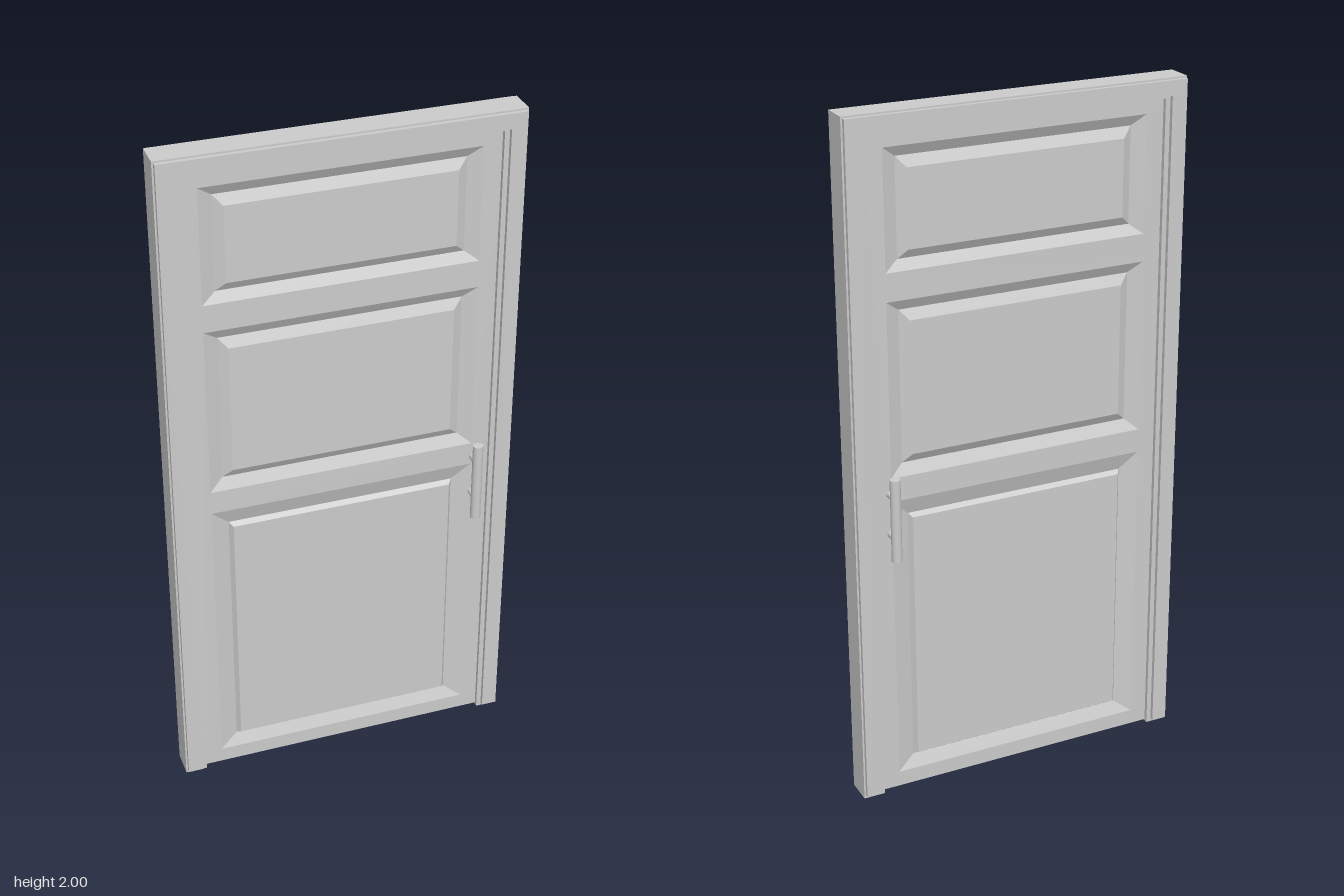
import * as THREE from 'three';

const material = new THREE.MeshStandardMaterial({ color: 0xcccccc });
const flat = new THREE.MeshStandardMaterial({ color: 0xcccccc, flatShading: true });

const LEAF_Z = 0.028;   // half thickness of the door leaf
const GROOVE_Z = 0.012; // height of the groove bottom around each panel

function addMesh(parent, name, geometry, mat = material) {
  const mesh = new THREE.Mesh(geometry, mat);
  mesh.name = name;
  parent.add(mesh);
  return mesh;
}

// Door surround: two jambs and a head in one U-shaped outline
function surround(outer, inner, bottom, top, innerTop, halfDepth) {
  const shape = new THREE.Shape([
    [-outer, bottom], [-inner, bottom], [-inner, innerTop], [inner, innerTop],
    [inner, bottom], [outer, bottom], [outer, top], [-outer, top],
  ].map(([x, y]) => new THREE.Vector2(x, y)));
  return new THREE.ExtrudeGeometry(shape, { depth: halfDepth * 2, bevelEnabled: false })
    .translate(0, 0, -halfDepth);
}

// Corners of a rectangle, counter-clockwise from the front
function corners(halfWidth, y0, y1, z) {
  return [[-halfWidth, y0, z], [halfWidth, y0, z], [halfWidth, y1, z], [-halfWidth, y1, z]];
}

// Raised panel: mitred slopes down to a groove, up again, and a flat field
function panelGeometry({ out, groove, field }) {
  const rings = [
    corners(...out, LEAF_Z), corners(...groove, GROOVE_Z), corners(...field, LEAF_Z - 0.002),
  ];
  const points = [];
  const quad = (a, b, c, d) => points.push(...a, ...b, ...c, ...a, ...c, ...d);
  for (let r = 0; r < 2; r++) {
    for (let i = 0; i < 4; i++) {
      const j = (i + 1) % 4;
      quad(rings[r][i], rings[r][j], rings[r + 1][j], rings[r + 1][i]);
    }
  }
  quad(...rings[2]);
  const geometry = new THREE.BufferGeometry();
  geometry.setAttribute('position', new THREE.Float32BufferAttribute(points, 3));
  geometry.computeVertexNormals();
  return geometry;
}

// Half width, bottom and top of each panel's opening, groove and field
const panels = [
  { name: 'topPanel', out: [0.385, 1.57, 1.905], groove: [0.345, 1.6, 1.875], field: [0.318, 1.625, 1.845] },
  { name: 'middlePanel', out: [0.385, 0.985, 1.49], groove: [0.345, 1.02, 1.46], field: [0.318, 1.045, 1.43] },
  { name: 'lowerPanel', out: [0.385, 0.05, 0.915], groove: [0.332, 0.09, 0.865], field: [0.322, 0.1, 0.855] },
];

function createLeaf() {
  const leaf = new THREE.Group();
  leaf.name = 'doorLeaf';
  const toShape = (w, y0, y1, Type) =>
    new Type(corners(w, y0, y1, 0).map(([x, y]) => new THREE.Vector2(x, y)));
  const board = toShape(0.44, 0.004, 1.95, THREE.Shape);
  for (const p of panels) board.holes.push(toShape(...p.out, THREE.Path));
  addMesh(leaf, 'stilesAndRails', new THREE.ExtrudeGeometry(board, {
    depth: LEAF_Z * 2, bevelEnabled: false,
  }).translate(0, 0, -LEAF_Z));
  // The same panels on both faces
  for (const p of panels) {
    const geometry = panelGeometry(p);
    addMesh(leaf, p.name + 'Front', geometry, flat);
    addMesh(leaf, p.name + 'Back', geometry, flat).rotation.y = Math.PI;
  }
  return leaf;
}

// Upright pull bar on two short posts
function createHandle(side) {
  const handle = new THREE.Group();
  handle.name = side > 0 ? 'frontHandle' : 'backHandle';
  const barZ = 0.067;
  addMesh(handle, 'bar', new THREE.CylinderGeometry(0.015, 0.015, 0.245, 24))
    .position.set(0.39, 0.8775, barZ * side);
  const length = barZ - LEAF_Z + 0.004;
  for (const y of [0.82, 0.94]) {
    const post = addMesh(handle, 'post', new THREE.CylinderGeometry(0.01, 0.01, length, 20));
    post.rotation.x = Math.PI / 2;
    post.position.set(0.39, y, (barZ - length / 2) * side);
  }
  return handle;
}

export function createModel() {
  const door = new THREE.Group();
  door.name = 'door';

  const frame = new THREE.Group();
  frame.name = 'frame';
  addMesh(frame, 'frameCore', surround(0.5, 0.436, 0, 2, 1.944, 0.04));
  addMesh(frame, 'frameCasing', surround(0.495, 0.45, 0.01, 1.995, 1.952, 0.052));
  door.add(frame);

  door.add(createLeaf(), createHandle(1), createHandle(-1));
  return door;
}
